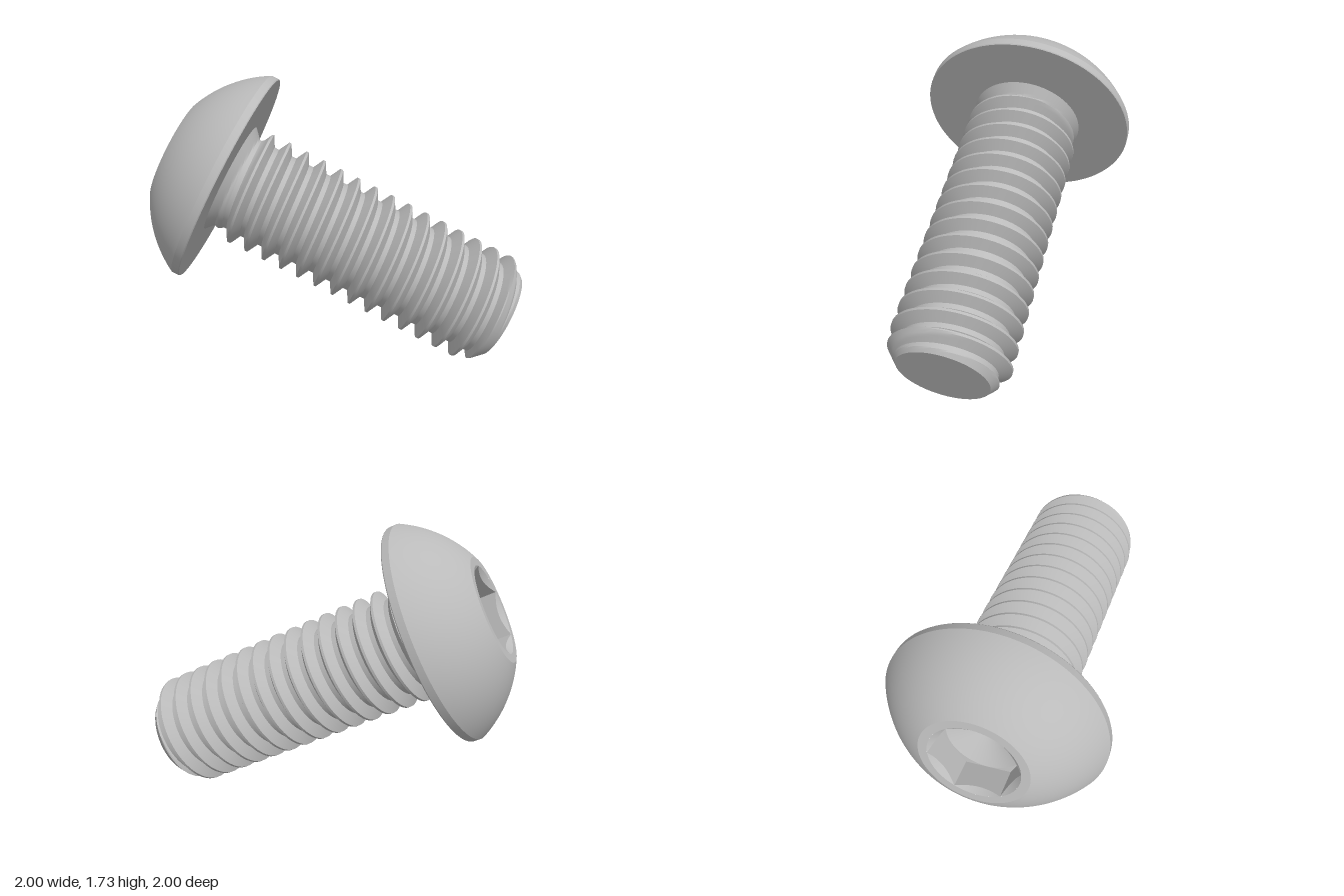
import * as THREE from 'three';
import { toCreasedNormals } from 'three/addons/utils/BufferGeometryUtils.js';

const clamp = THREE.MathUtils.clamp;

// Surface swept around the y axis; fn(angle, row, turn) returns [radius, y].
function sweep(cols, rows, start, fn) {
  const pos = [];
  const point = (i, j) => {
    const a = start + (i / cols) * Math.PI * 2;
    const [r, y] = fn(a, j, i / cols);
    return new THREE.Vector3(Math.sin(a) * r, y, Math.cos(a) * r);
  };
  const tri = (a, b, c) => {
    const area = b.clone().sub(a).cross(c.clone().sub(a)).length();
    if (area > 1e-8) for (const p of [a, b, c]) pos.push(p.x, p.y, p.z);
  };
  for (let j = 0; j < rows - 1; j++) {
    for (let i = 0; i < cols; i++) {
      const a = point(i, j), b = point(i + 1, j);
      const c = point(i + 1, j + 1), d = point(i, j + 1);
      tri(a, b, c);
      tri(a, c, d);
    }
  }
  const g = new THREE.BufferGeometry();
  g.setAttribute('position', new THREE.Float32BufferAttribute(pos, 3));
  return toCreasedNormals(g, 0.42);
}

// Flat underside, short rim, spherical dome and a flat ring around the socket.
const RIM = 0.682, FLAT = 0.33, SOCKET = 0.276, TOP = 0.383;
function headGeometry() {
  const centre = -0.318, radius = Math.hypot(RIM, 0.05 - centre);
  const from = Math.asin(RIM / radius), to = Math.asin(FLAT / radius);
  const profile = [[0, 0], [RIM - 0.004, 0], [RIM, 0.006]];
  for (let k = 0; k < 16; k++) {
    const t = from + (to - from) * (k / 16);
    profile.push([radius * Math.sin(t), centre + radius * Math.cos(t)]);
  }
  profile.push([FLAT, TOP], [SOCKET, TOP]);
  return sweep(96, profile.length, 0, (a, j) => profile[j]);
}

// Hexagonal recess with a conical lead-in and a drilled, conical floor.
function socketGeometry() {
  const start = THREE.MathUtils.degToRad(41.5), side = Math.PI / 3;
  const apothem = SOCKET * Math.cos(side / 2), floor = TOP - 0.18;
  return sweep(72, 5, start, (a, j) => {
    const local = (((a - start + 1e-9) % side) + side) % side - side / 2;
    const hex = apothem / Math.cos(local);
    return [
      [SOCKET, TOP], [hex, TOP - (SOCKET - hex) * 0.8],
      [hex, floor], [apothem - 0.002, floor], [0, floor - 0.12],
    ][j];
  });
}

// Right-handed helical thread with a tapered neck and a chamfered tip.
function shaftGeometry() {
  const length = 1.9, pitch = 0.12, minor = 0.295, major = 0.364, steps = 16;
  const turns = Math.ceil(length / pitch) + 2;
  return sweep(72, turns * steps + 2, 0, (a, j, turn) => {
    if (j === 0) return [0, -length];
    const f = (j - 1) / steps;
    const y = clamp(-length + (f - 1.67 + turn) * pitch, -length, 0);
    const tooth = clamp((Math.abs((f % 1) - 0.5) * 2 - 0.25) / 0.625, 0, 1);
    const fade = clamp((-y - 0.04) / 0.08, 0, 1);
    const thread = minor + (major - minor) * tooth * fade;
    const neck = 0.355 + y * 1.1;
    const tip = 0.273 + (y + length) * 0.9;
    return [Math.min(Math.max(thread, neck), tip), y];
  });
}

export function createModel() {
  const steel = new THREE.MeshStandardMaterial({ color: 0xbababa });
  steel.name = 'steel grey';

  const screw = new THREE.Group();
  screw.name = 'screw';
  const add = (name, geometry) => {
    const mesh = new THREE.Mesh(geometry, steel);
    mesh.name = name;
    screw.add(mesh);
  };
  add('head', headGeometry());
  add('hexSocket', socketGeometry());
  add('threadedShaft', shaftGeometry());

  // Tilt the screw so that its head points up, forward and to one side.
  const up = new THREE.Vector3(-0.637, 0.434, 0.637).normalize();
  const across = new THREE.Vector3(1, 0, 1).normalize();
  const basis = new THREE.Matrix4().makeBasis(across, up, across.clone().cross(up));
  screw.quaternion.setFromRotationMatrix(basis);
  screw.position.set(-0.427, 1.096, 0.427);

  const model = new THREE.Group();
  model.name = 'buttonHeadScrew';
  model.add(screw);
  return model;
}
